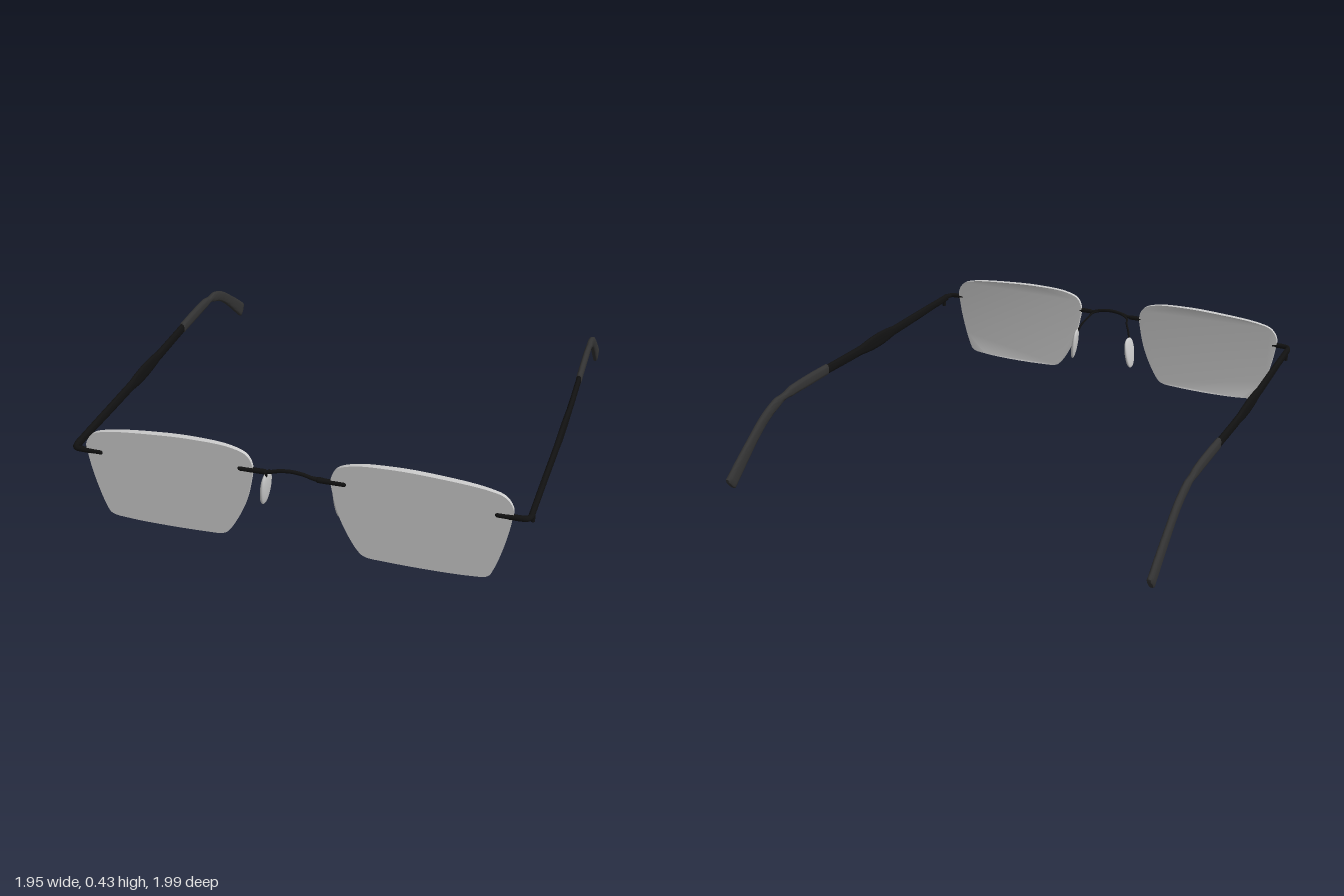
import * as THREE from 'three';
import { toCreasedNormals } from 'three/addons/utils/BufferGeometryUtils.js';

const mat = (color) => new THREE.MeshStandardMaterial({ color, side: THREE.DoubleSide });
const V = (p) => new THREE.Vector3(...p);

function add(parent, name, geometry, material) {
  const mesh = new THREE.Mesh(geometry, material);
  mesh.name = name;
  parent.add(mesh);
  return mesh;
}

// Round wire along a smooth path
function wire(points, radius, segments = 32) {
  return new THREE.TubeGeometry(new THREE.CatmullRomCurve3(points.map(V)), segments, radius, 10);
}

// Bar with rounded ends
function pin(x0, x1, y, z, radius) {
  const g = new THREE.CapsuleGeometry(radius, x1 - x0 - 2 * radius, 5, 12);
  return g.rotateZ(Math.PI / 2).translate((x0 + x1) / 2, y, z);
}

// Loft of rounded sections running backwards; stations are [x, y, z, halfHeight, halfWidth]
function loft(stations, sides = 20, steps = 40) {
  const path = new THREE.CatmullRomCurve3(stations.map(V), false, 'centripetal');
  const size = new THREE.CatmullRomCurve3(stations.map((s) => new THREE.Vector3(s[3], s[4], 0)), false, 'centripetal');
  const pos = [], idx = [];
  const power = (v) => Math.sign(v) * Math.abs(v) ** 0.7;
  const ring = (t, k, push) => {
    const c = path.getPoint(t), d = path.getTangent(t), s = size.getPoint(t);
    c.addScaledVector(d, push);
    const n = new THREE.Vector3(0, -d.z, d.y).normalize();
    for (let j = 0; j < sides; j++) {
      const a = (j / sides) * Math.PI * 2;
      const h = power(Math.sin(a)) * s.x * k;
      pos.push(c.x + power(Math.cos(a)) * s.y * k, c.y + n.y * h, c.z + n.z * h);
    }
  };
  ring(0, 0.75, -0.006);
  for (let i = 0; i <= steps; i++) ring(i / steps, 1, 0);
  ring(1, 0.75, 0.006);
  const rows = steps + 3;
  for (let i = 0; i < rows - 1; i++) {
    for (let j = 0; j < sides; j++) {
      const a = i * sides + j, b = i * sides + ((j + 1) % sides);
      idx.push(a, a + sides, b, b, a + sides, b + sides);
    }
  }
  // flat caps
  const last = (rows - 1) * sides;
  for (let j = 1; j < sides - 1; j++) idx.push(0, j, j + 1, last, last + j + 1, last + j);
  const g = new THREE.BufferGeometry();
  g.setAttribute('position', new THREE.Float32BufferAttribute(pos, 3));
  g.setIndex(idx);
  g.computeVertexNormals();
  return toCreasedNormals(g, 0.8);
}

// Flat-fronted lens whose back swells slightly across its width
function lensGeometry() {
  const outline = [
    [0.162, 0.35], [0.185, 0.397], [0.253, 0.423], [0.41, 0.433], [0.567, 0.428], [0.786, 0.407],
    [0.849, 0.386], [0.88, 0.34], [0.875, 0.277], [0.854, 0.172], [0.817, 0.052], [0.796, 0.016],
    [0.72, 0.003], [0.384, 0.001], [0.295, 0.01], [0.264, 0.04], [0.2, 0.165], [0.17, 0.277],
  ].map(([x, y]) => new THREE.Vector3(x, y, 0));
  const curve = new THREE.CatmullRomCurve3(outline, true, 'centripetal');
  const shape = new THREE.Shape(curve.getPoints(110).slice(0, -1).map((p) => new THREE.Vector2(p.x, p.y)));
  const g = new THREE.ExtrudeGeometry(shape, { depth: 1, bevelEnabled: false });
  const p = g.attributes.position;
  for (let i = 0; i < p.count; i++) {
    const u = (p.getX(i) - 0.52) / 0.36;
    p.setZ(i, p.getZ(i) > 0.5 ? 0.99 : 0.976 - 0.013 * Math.max(0, 1 - u * u));
  }
  g.computeVertexNormals();
  return toCreasedNormals(g, 0.6);
}

// Teardrop nose pad, narrower towards the bottom
function padGeometry() {
  const g = new THREE.SphereGeometry(1, 28, 20);
  const p = g.attributes.position;
  const soft = (v) => Math.sign(v) * Math.abs(v) ** 0.8;
  for (let i = 0; i < p.count; i++) {
    const y = p.getY(i);
    p.setXYZ(i, soft(p.getX(i)) * 0.012, y * 0.079, soft(p.getZ(i)) * 0.041 * (1 + 0.14 * y));
  }
  g.computeVertexNormals();
  return g;
}

export function createModel() {
  const model = new THREE.Group();
  model.name = 'rimlessGlasses';
  const glass = mat(0xcccccc), metal = mat(0x111111), rubber = mat(0x333333);

  // Everything on one side, built for +x
  const buildSide = (name) => {
    const side = new THREE.Group();
    side.name = name;

    add(side, 'lens', lensGeometry(), glass);
    add(side, 'bridgeClip', pin(0.1, 0.225, 0.333, 0.986, 0.011), metal);
    add(side, 'outerClip', pin(0.81, 0.93, 0.305, 0.986, 0.011), metal);

    // Corner piece bending from the clip into the temple
    add(side, 'endPiece', wire([[0.86, 0.305, 0.986], [0.91, 0.305, 0.986], [0.933, 0.304, 0.98],
      [0.943, 0.303, 0.962], [0.945, 0.302, 0.92]], 0.012), metal);
    const hinge = add(side, 'hinge', new THREE.CylinderGeometry(0.009, 0.009, 0.05, 12), metal);
    hinge.position.set(0.946, 0.285, 0.925);

    add(side, 'temple', loft([[0.944, 0.301, 0.95, 0.017, 0.011], [0.949, 0.295, 0.7, 0.021, 0.011],
      [0.956, 0.288, 0.4, 0.024, 0.011], [0.961, 0.286, 0.1, 0.024, 0.011],
      [0.963, 0.292, -0.2, 0.022, 0.011]]), metal);

    add(side, 'templeTip', loft([[0.963, 0.293, -0.2, 0.026, 0.013], [0.963, 0.295, -0.35, 0.027, 0.013],
      [0.963, 0.293, -0.5, 0.025, 0.013], [0.963, 0.28, -0.6, 0.025, 0.013],
      [0.963, 0.241, -0.7, 0.026, 0.013], [0.963, 0.175, -0.8, 0.028, 0.013],
      [0.963, 0.1, -0.9, 0.034, 0.013], [0.963, 0.043, -0.973, 0.037, 0.013]]), rubber);

    // Nose pad on its thin arm
    add(side, 'padArm', wire([[0.06, 0.343, 0.984], [0.095, 0.33, 0.97], [0.108, 0.312, 0.94],
      [0.13, 0.282, 0.91], [0.147, 0.235, 0.885]], 0.005), metal);
    const pad = add(side, 'nosePad', padGeometry(), glass);
    pad.position.set(0.152, 0.184, 0.877);
    pad.rotation.set(0, 0.15, 0.13);
    return side;
  };

  const left = buildSide('leftSide');
  const right = buildSide('rightSide');
  right.scale.x = -1;
  model.add(left, right);

  // Arched bridge joining the two lenses
  add(model, 'bridge', wire([[-0.14, 0.333, 0.986], [-0.095, 0.335, 0.986], [-0.05, 0.347, 0.986],
    [0, 0.352, 0.986], [0.05, 0.347, 0.986], [0.095, 0.335, 0.986], [0.14, 0.333, 0.986]], 0.008, 48), metal);

  return model;
}
